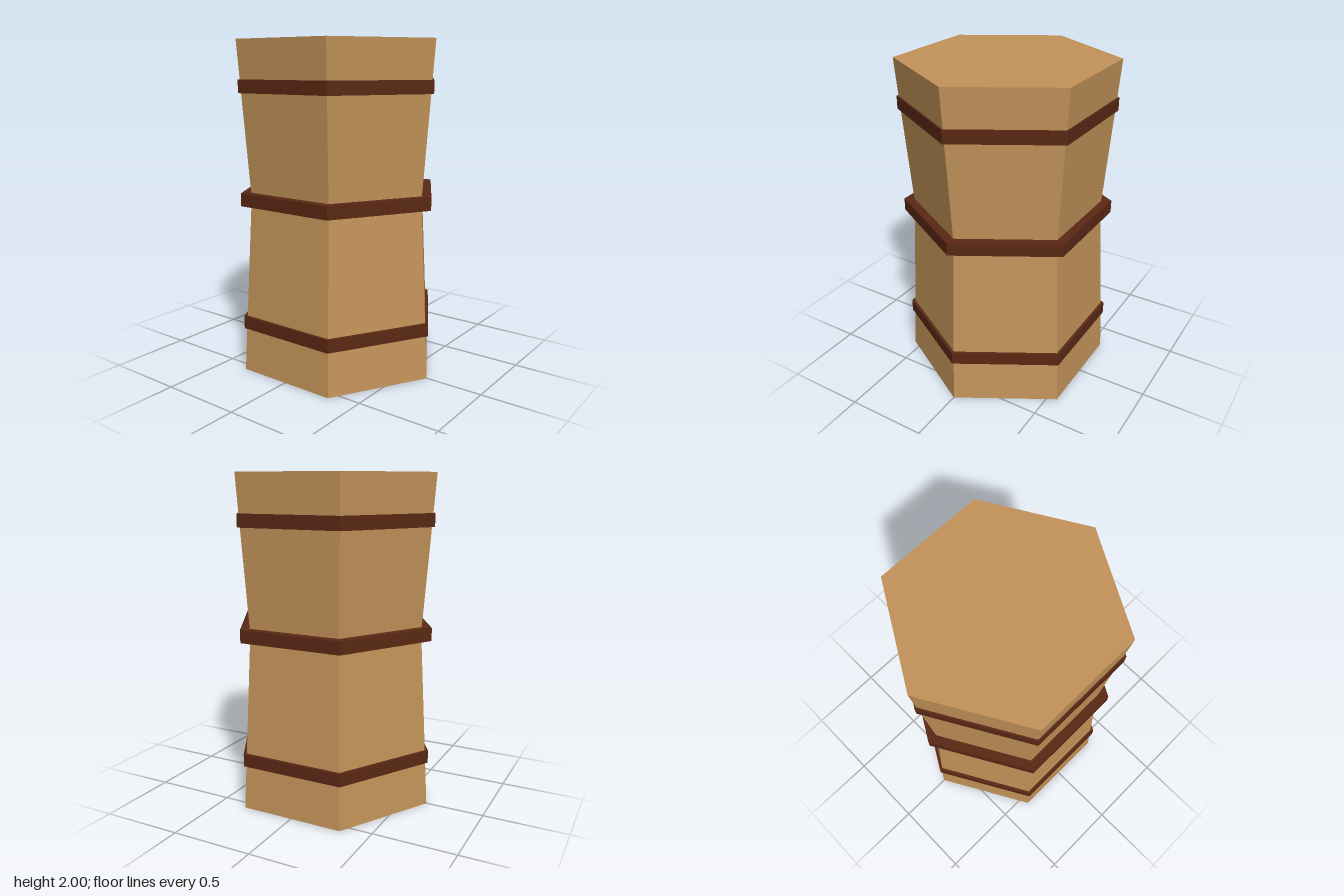
import * as THREE from 'three';

const SIDES = 6;

export function createModel() {
  const model = new THREE.Group();
  model.name = 'hexagonalBarrel';
  const wood = new THREE.MeshStandardMaterial({ color: 0xc4945a, flatShading: true });
  const strap = new THREE.MeshStandardMaterial({ color: 0x5a2814, flatShading: true });

  // Waisted six-sided body, closed at both ends
  const profile = [[0, 0], [0.645, 0], [0.58, 1.08], [0.65, 2], [0, 2]];
  const body = new THREE.Mesh(
    new THREE.LatheGeometry(profile.map(([r, y]) => new THREE.Vector2(r, y)), SIDES), wood);
  body.name = 'body';
  model.add(body);

  // Straps of equal size around the body
  const strapNames = ['lowerStrap', 'middleStrap', 'upperStrap'];
  [0.308, 1.072, 1.735].forEach((y, i) => {
    const band = new THREE.Mesh(new THREE.CylinderGeometry(0.645, 0.645, 0.078, SIDES), strap);
    band.name = strapNames[i];
    band.position.y = y;
    model.add(band);
  });

  return model;
}
